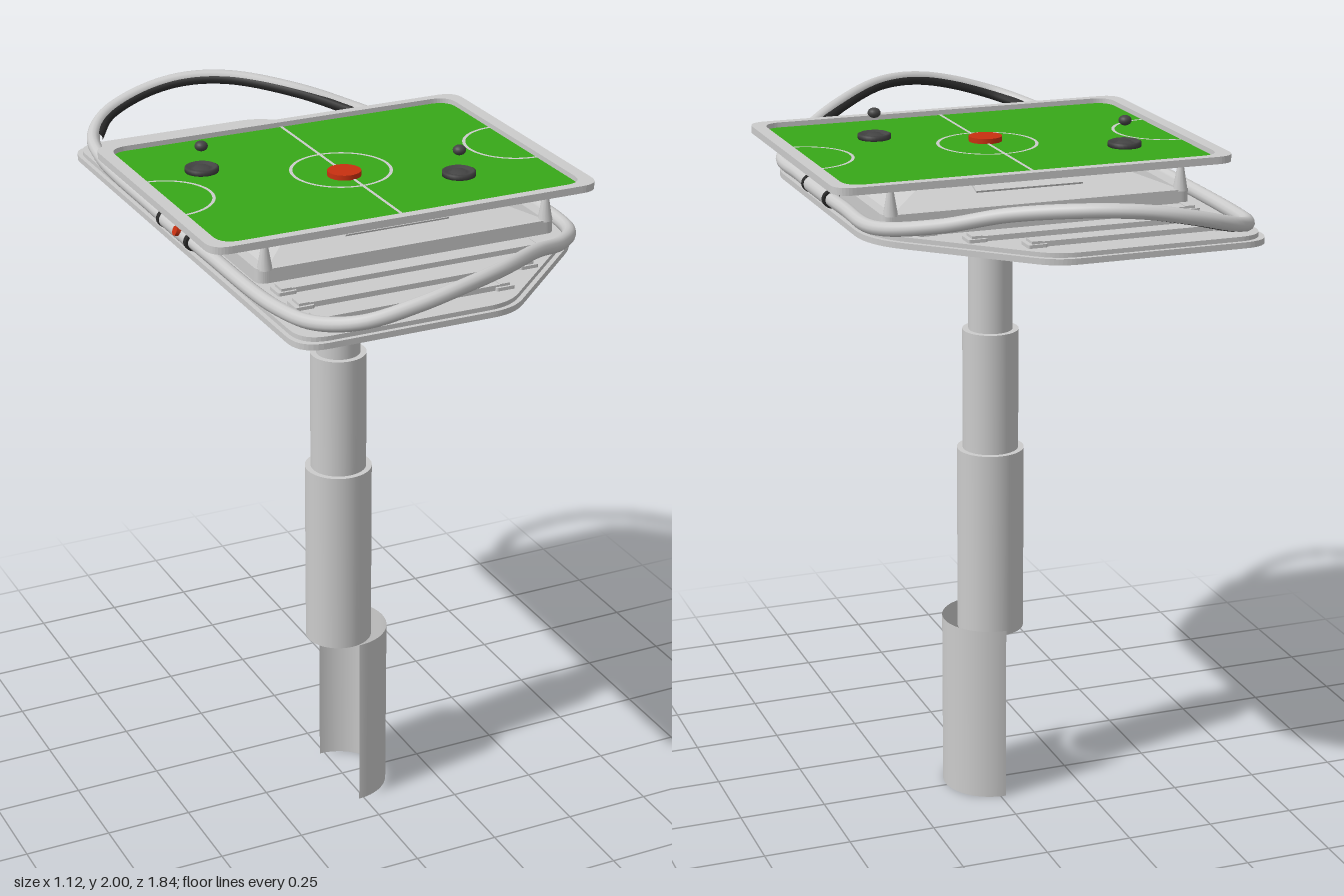
import * as THREE from 'three';

const mat = (color, side = THREE.FrontSide) => new THREE.MeshStandardMaterial({ color, side });
const grey = mat(0xcccccc), thin = mat(0xcccccc, THREE.DoubleSide);
const dark = mat(0x2a2a2a), charcoal = mat(0x444444), green = mat(0x38a818), red = mat(0xc83010);

// Closed outline with rounded corners; points are [x, z, radius]
function rounded(pts, Type = THREE.Shape) {
  const s = new Type();
  const v = pts.map(p => new THREE.Vector2(p[0], -p[1]));
  v.forEach((c, i) => {
    const toward = o => o.clone().sub(c).setLength(pts[i][2]).add(c);
    const a = toward(v[(i + v.length - 1) % v.length]), b = toward(v[(i + 1) % v.length]);
    if (i) s.lineTo(a.x, a.y); else s.moveTo(a.x, a.y);
    s.quadraticCurveTo(c.x, c.y, b.x, b.y);
  });
  s.closePath();
  return s;
}
const rect = (x, z, r, Type) => rounded([[-x, z, r], [x, z, r], [x, -z, r], [-x, -z, r]], Type);

// Horizontal slab from an outline
function slab(shape, y0, y1) {
  return new THREE.ExtrudeGeometry(shape, { depth: y1 - y0, bevelEnabled: false, curveSegments: 10 })
    .rotateX(-Math.PI / 2).translate(0, y0, 0);
}

export function createModel() {
  const model = new THREE.Group();
  const add = (name, geo, m = grey, x = 0, y = 0, z = 0, parent = model) => {
    const mesh = new THREE.Mesh(geo, m);
    mesh.name = name;
    mesh.position.set(x, y, z);
    parent.add(mesh);
    return mesh;
  };

  // Telescopic column and the half-round cover at its foot
  [[0.062, 1.36, 1.79], [0.079, 1.02, 1.388], [0.095, 0.492, 1.038]].forEach(([r, a, b], i) =>
    add('columnStage' + (i + 1), new THREE.CylinderGeometry(r, r, b - a, 48), grey, -0.015, (a + b) / 2, 0.005));
  add('footCover', new THREE.CylinderGeometry(0.138, 0.138, 0.522, 32, 1, true, 0, Math.PI), thin, -0.015, 0.261, 0.01);

  // Deck: two stacked plates with slanted ends
  const deckShape = (d) => rounded([
    [-0.49 + d, 0.793 - d, 0.08], [0.1 - d / 2, 0.793 - d, 0.06], [0.482 - d, 0.43 - d / 2, 0.1],
    [0.482 - d, -0.43 + d / 2, 0.1], [0.1 - d / 2, -0.793 + d, 0.06], [-0.49 + d, -0.793 + d, 0.08]]);
  add('deckBase', slab(deckShape(0), 1.78, 1.796));
  add('deckTop', slab(deckShape(0.012), 1.796, 1.808));

  // Slats with end brackets
  for (const s of [-1, 1]) {
    [[0.475, 0.365], [0.58, 0.268], [0.68, 0.145]].forEach(([z, end], i) => {
      const g = new THREE.Group();
      g.name = 'slat' + (i + 1) + (s > 0 ? 'Front' : 'Back');
      model.add(g);
      const x0 = -0.415, len = end - x0;
      add('strip', new THREE.BoxGeometry(len - 0.06, 0.014, 0.04), grey, (x0 + end) / 2, 1.815, s * z, g);
      for (const x of [x0 + 0.025, end - 0.025]) {
        add('bracket', slab(rect(0.026, 0.028, 0.006), 0, 0.009), grey, x, 1.808, s * z, g);
        add('bracketPad', new THREE.BoxGeometry(0.028, 0.014, 0.042), grey, x, 1.817, s * z, g);
      }
    });
  }

  // Closed guard rail: low along both sides, arching up at each end
  const half = [[0.47, 1.822, 0.2], [0.455, 1.822, 0.43], [0.34, 1.855, 0.59], [0.2, 1.9, 0.71], [0.03, 1.927, 0.84],
    [-0.1, 1.924, 0.89], [-0.22, 1.902, 0.898], [-0.35, 1.865, 0.86], [-0.43, 1.838, 0.76],
    [-0.465, 1.825, 0.6], [-0.475, 1.822, 0.2]];
  const railPts = [...half, ...half.slice().reverse().map(([x, y, z]) => [x, y, -z])]
    .map(p => new THREE.Vector3(...p));
  const railCurve = new THREE.CatmullRomCurve3(railPts, true);
  add('guardRail', new THREE.TubeGeometry(railCurve, 220, 0.019, 12, true));

  // Dark lining on the inner side of each arch
  for (const s of [-1, 1]) {
    const lining = half.slice(2, 9).map(([x, y, z]) => new THREE.Vector3((x + 0.1) * 0.97 - 0.1, y - 0.006, s * (z - 0.008)));
    add('railLining', new THREE.TubeGeometry(new THREE.CatmullRomCurve3(lining), 60, 0.015, 8), dark);
  }

  // Rail grips in the middle of both long sides, with dark end bands and a button
  for (const x of [-0.478, 0.473]) {
    add('railGrip', new THREE.CylinderGeometry(0.022, 0.022, 0.18, 16).rotateX(Math.PI / 2), grey, x, 1.822, 0);
    for (const z of [-0.095, 0.095])
      add('gripBand', new THREE.CylinderGeometry(0.024, 0.024, 0.016, 16).rotateX(Math.PI / 2), dark, x, 1.822, z);
  }
  add('button', new THREE.CylinderGeometry(0.013, 0.013, 0.02, 16).rotateZ(Math.PI / 2.6), red, -0.497, 1.835, 0.04);

  // Console under the playing board: plinth, tapered hood and slots
  add('consolePlinth', slab(rect(0.43, 0.41, 0.03), 1.808, 1.846));
  const hood = new THREE.BoxGeometry(0.8, 0.054, 0.8).toNonIndexed();
  const p = hood.attributes.position;
  for (let i = 0; i < p.count; i++)
    if (p.getY(i) > 0) p.setXYZ(i, p.getX(i) * 0.6, p.getY(i), p.getZ(i) * 0.58);
  hood.computeVertexNormals();
  add('consoleHood', hood, grey, 0, 1.873, 0);
  for (const s of [-1, 1])
    add('consoleSlot', new THREE.BoxGeometry(0.3, 0.008, 0.04), grey, 0, 1.874, s * 0.317).rotation.x = s * 0.31;

  // Board legs
  for (const x of [-0.405, 0.405]) for (const z of [-0.395, 0.395])
    add('boardLeg', new THREE.CylinderGeometry(0.008, 0.02, 0.07, 12), grey, x, 1.877, z);

  // Board: raised frame around a recessed playing field
  const frame = rect(0.558, 0.42, 0.055);
  frame.holes.push(rect(0.522, 0.393, 0.055, THREE.Path));
  add('boardFrame', slab(frame, 1.909, 1.929));
  add('field', slab(rect(0.524, 0.395, 0.055), 1.91, 1.915), green);

  // Field markings
  const flat = geo => geo.rotateX(-Math.PI / 2);
  const lineY = 1.9162;
  add('centreLine', flat(new THREE.PlaneGeometry(0.009, 0.786)), thin, -0.004, lineY, 0);
  add('centreCircle', flat(new THREE.RingGeometry(0.131, 0.14, 64)), thin, -0.004, lineY, 0);
  for (const s of [-1, 1])
    add('goalArc', flat(new THREE.RingGeometry(0.131, 0.14, 40, 1, s * Math.PI / 2, Math.PI)), thin, s * 0.522, lineY, 0);

  // Puck and the two strikers
  add('puck', new THREE.CylinderGeometry(0.046, 0.046, 0.014, 32), red, -0.012, 1.922, 0.037);
  const strikerProfile = [[0, 0], [0.046, 0], [0.046, 0.012], [0.04, 0.015], [0.033, 0.008], [0.022, 0.008],
    [0.018, 0.014], [0, 0.014]].map(a => new THREE.Vector2(...a));
  [[-0.345, -0.155], [0.265, 0.17]].forEach(([x, z]) => {
    add('strikerBase', new THREE.LatheGeometry(strikerProfile, 32), charcoal, x, 1.915, z);
    add('strikerKnob', new THREE.SphereGeometry(0.018, 20, 12).scale(1, 0.78, 1), charcoal, x, 1.986, z);
  });
  return model;
}
